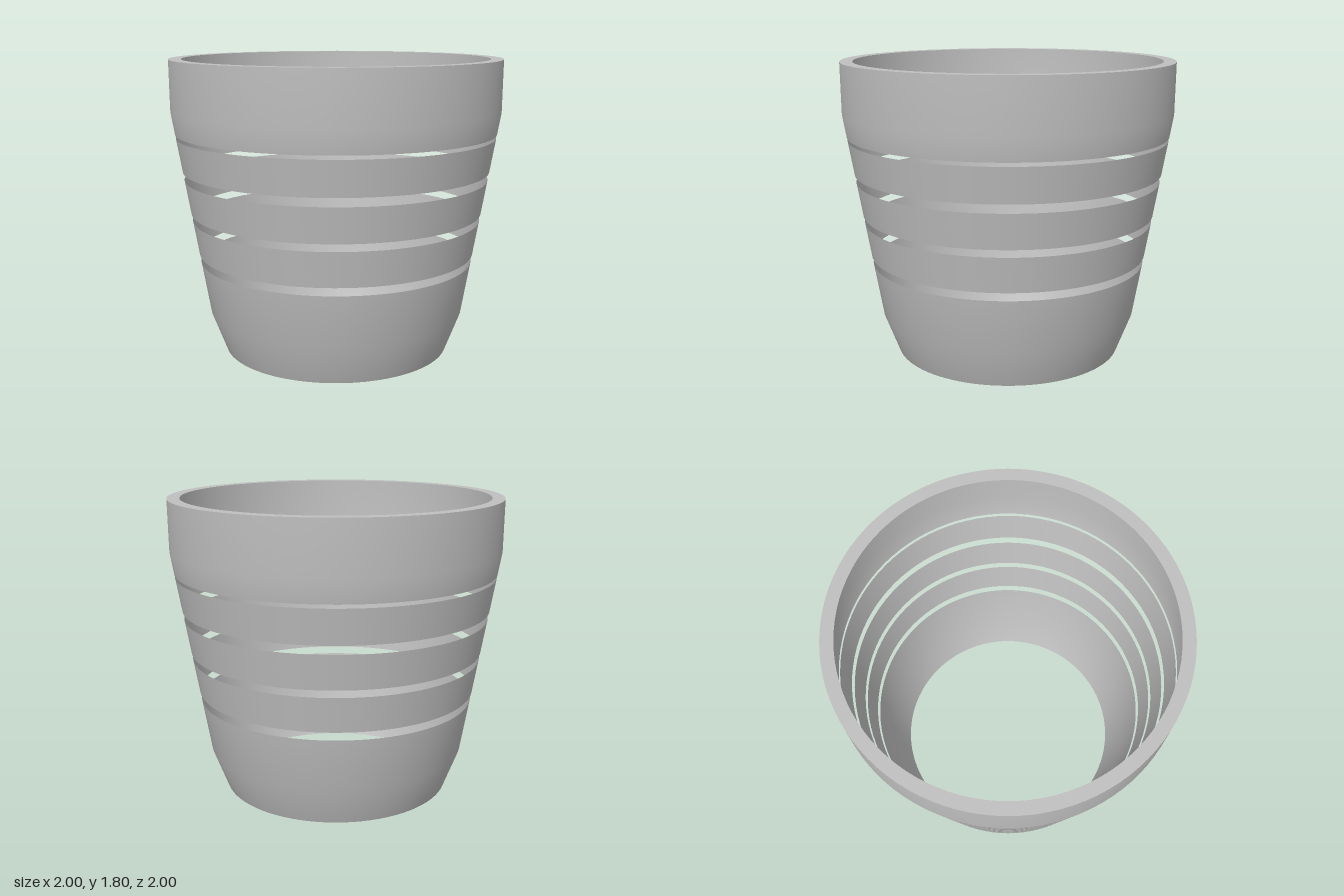
import * as THREE from 'three';

const SEGMENTS = 96;
const material = new THREE.MeshStandardMaterial({ color: 0xbfbfbf, side: THREE.DoubleSide });
material.name = 'light grey';

// Radius of the tapering wall between the base and the collar
const taper = (y) => THREE.MathUtils.mapLinear(y, 0.24, 1.49, 0.79, 0.998);

// Thin open shell turned around the y axis from [radius, height] pairs
function shell(name, profile) {
  const points = profile.map(([r, y]) => new THREE.Vector2(r, y));
  const mesh = new THREE.Mesh(new THREE.LatheGeometry(points, SEGMENTS), material);
  mesh.name = name;
  return mesh;
}

export function createModel() {
  const group = new THREE.Group();
  group.name = 'slottedPot';

  // Base cup, open underneath
  group.add(shell('base', [[0.7, 0], [0.79, 0.24], [taper(0.565), 0.565]]));

  // Three separate conical bands
  const bands = [[0.614, 0.825], [0.869, 1.077], [1.128, 1.334]];
  bands.forEach(([low, high], i) => {
    group.add(shell(`band${i + 1}`, [[taper(low), low], [taper(high), high]]));
  });

  // Upper collar and its flat inward lip
  group.add(shell('collar', [[taper(1.356), 1.356], [0.998, 1.49], [1, 1.8]]));
  group.add(shell('rim', [[1, 1.8], [0.925, 1.8]]));

  return group;
}
